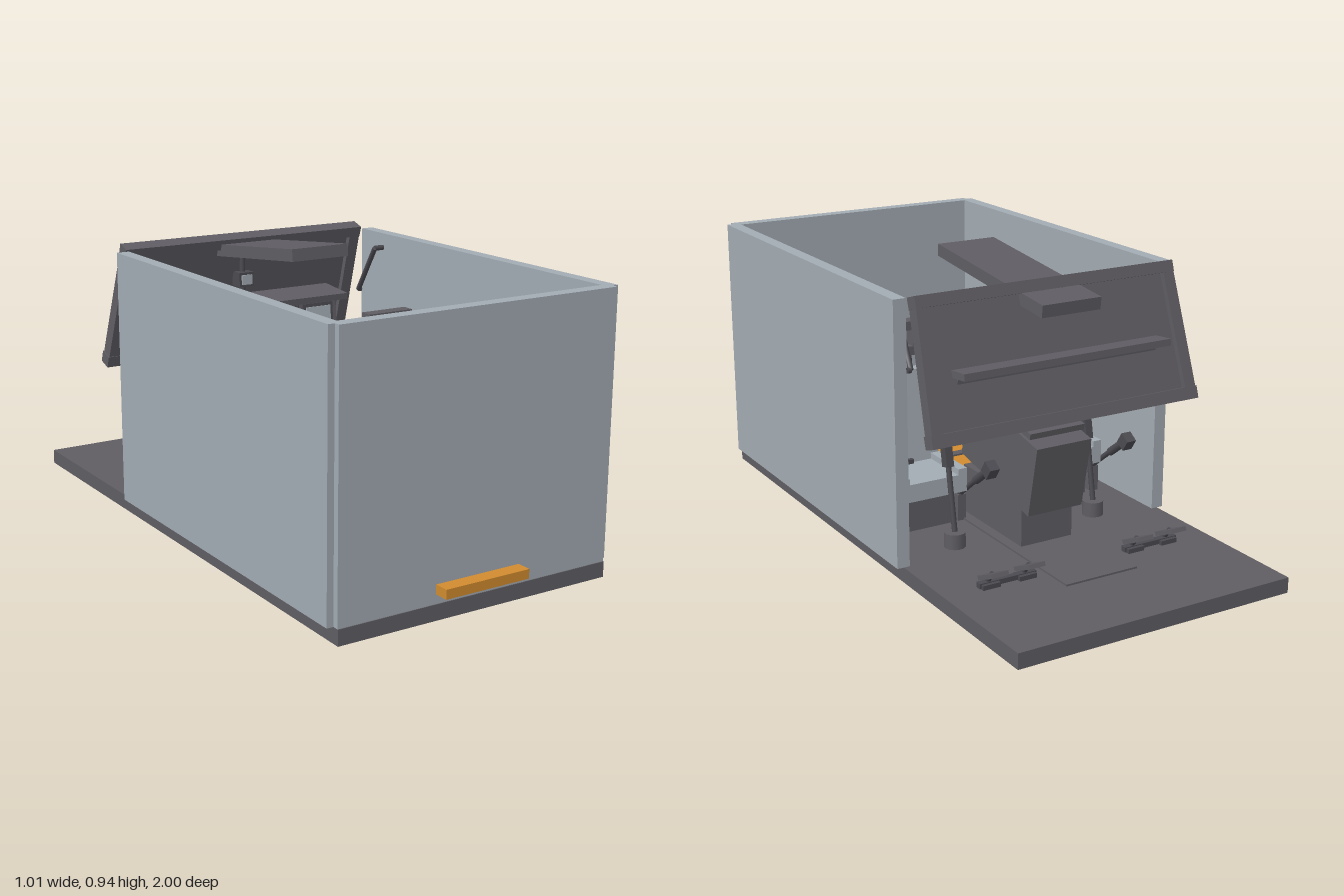
import * as THREE from 'three';

const mat = (name, color) => {
  const m = new THREE.MeshStandardMaterial({ color });
  m.name = name;
  return m;
};

export function createModel() {
  const wall = mat('pale blue grey', 0xa2abb3);
  const dark = mat('dark grey', 0x5f5d63);
  const trim = mat('charcoal trim', 0x4b4a50);
  const orange = mat('orange', 0xd08b2e);

  const root = new THREE.Group();
  root.name = 'cabin';
  const V = (x, y, z) => new THREE.Vector3(x, y, z);

  // Box given by its extents
  function box(name, m, [x0, x1], [y0, y1], [z0, z1], parent = root) {
    const b = new THREE.Mesh(new THREE.BoxGeometry(x1 - x0, y1 - y0, z1 - z0), m);
    b.position.set((x0 + x1) / 2, (y0 + y1) / 2, (z0 + z1) / 2);
    b.name = name;
    parent.add(b);
    return b;
  }
  // Box given by size and centre, tilted around x
  function tilted(name, m, size, pos, tilt, parent = root) {
    const b = new THREE.Mesh(new THREE.BoxGeometry(...size), m);
    b.position.set(...pos);
    b.rotation.x = tilt;
    b.name = name;
    parent.add(b);
    return b;
  }
  // Round rod between two points
  function rod(name, m, a, b, r, parent = root) {
    const d = b.clone().sub(a);
    const c = new THREE.Mesh(new THREE.CylinderGeometry(r, r, d.length(), 14), m);
    c.position.copy(a).add(b).multiplyScalar(0.5);
    c.quaternion.setFromUnitVectors(V(0, 1, 0), d.normalize());
    c.name = name;
    parent.add(c);
    return c;
  }
  function group(name, x = 0, y = 0, z = 0) {
    const g = new THREE.Group();
    g.name = name;
    g.position.set(x, y, z);
    root.add(g);
    return g;
  }

  // Floor and walls
  box('floor', dark, [-0.483, 0.483], [0, 0.05], [-1, 0.955]);
  box('floorPlate', dark, [-0.13, 0.13], [0.05, 0.056], [-0.71, 0.04]);
  box('endWall', wall, [-0.483, 0.483], [0.05, 0.9], [0.908, 0.952]);
  for (const s of [-1, 1]) {
    const x = s * 0.4835;
    box('sideWall', wall, [x - 0.0215, x + 0.0215], [0.05, 0.9], [-0.34, 0.932]);
    // Slanted grab handle near the doorway
    const top = V(s * 0.428, 0.85, -0.21), low = V(s * 0.452, 0.68, -0.345);
    rod('grabHandle', trim, top, low, 0.009);
    for (const p of [top, low]) rod('handleBracket', trim, p, V(s * 0.464, p.y, p.z), 0.009);
  }

  // Stretcher with pillow and straps
  box('stretcherFrame', dark, [-0.13, 0.13], [0.05, 0.08], [0.07, 0.9]);
  box('stretcherMattress', orange, [-0.15, 0.15], [0.08, 0.11], [0.05, 1]);
  box('stretcherPillow', orange, [-0.125, 0.125], [0.11, 0.135], [0.09, 0.237]);
  for (const z of [0.32, 0.55, 0.785])
    box('stretcherStrap', dark, [-0.158, 0.158], [0.078, 0.116], [z - 0.017, z + 0.017]);

  // Windscreen frame, leaning forward at the bottom
  const screen = group('windscreen', 0, 0.7, -0.443);
  screen.rotation.x = 0.315;
  box('frameTop', dark, [-0.465, 0.465], [0.185, 0.222], [-0.024, 0.024], screen);
  box('frameBottom', dark, [-0.483, 0.483], [-0.225, -0.185], [-0.024, 0.024], screen);
  box('windscreenPane', dark, [-0.45, 0.45], [-0.2, 0.2], [-0.004, 0.004], screen);
  for (const s of [-1, 1]) {
    const post = box('framePost', dark, [-0.02, 0.02], [-0.205, 0.205], [-0.022, 0.022], screen);
    post.position.x = s * 0.452;
    post.rotation.z = s * 0.04;
  }

  // Overhead panel
  tilted('overheadPanel', dark, [0.21, 0.04, 0.63], [0, 0.885, -0.208], -0.11);

  // Instrument panel, its hood and displays
  tilted('panelHood', dark, [0.745, 0.022, 0.225], [0, 0.68, -0.412], 0.09);
  const panel = group('instrumentPanel', 0, 0.575, -0.395);
  panel.rotation.x = -0.1;
  box('panelBody', dark, [-0.36, 0.36], [-0.1, 0.1], [-0.06, 0.045], panel);
  for (const x of [-0.28, -0.14, 0.14, 0.28]) {
    box('displayBezel', trim, [x - 0.062, x + 0.062], [-0.066, 0.066], [0.045, 0.051], panel);
    box('displayScreen', wall, [x - 0.05, x + 0.05], [-0.054, 0.054], [0.051, 0.056], panel);
  }
  tilted('panelShelf', dark, [0.2, 0.02, 0.13], [0, 0.452, -0.39], -0.2);

  // Compass under the overhead panel
  rod('compassStalk', trim, V(0, 0.69, -0.4), V(0, 0.86, -0.4), 0.01);
  box('compassBody', trim, [-0.028, 0.028], [0.73, 0.78], [-0.42, -0.37]);
  box('compassDial', wall, [-0.02, 0.02], [0.738, 0.772], [-0.37, -0.365]);

  // Centre console
  box('consoleBase', dark, [-0.095, 0.095], [0.05, 0.22], [-0.4, -0.04]);
  tilted('consoleBody', dark, [0.2, 0.24, 0.42], [0, 0.335, -0.265], -0.2);

  // Pilot stations, both facing the windscreen
  for (const sx of [-0.265, 0.265]) {
    const seat = group('pilotSeat', sx);
    box('seatBase', dark, [-0.09, 0.09], [0.05, 0.17], [-0.1, 0.07], seat);
    box('seatCushion', wall, [-0.09, 0.09], [0.17, 0.23], [-0.145, 0.06], seat);
    tilted('seatBack', wall, [0.19, 0.33, 0.05], [0, 0.375, 0.075], 0.08, seat);
    tilted('seatBackFrame', dark, [0.19, 0.32, 0.02], [0, 0.37, 0.112], 0.08, seat);
    for (const s of [-1, 1]) {
      box('seatBolster', wall, [s * 0.105 - 0.016, s * 0.105 + 0.016], [0.17, 0.25], [-0.145, 0.06], seat);
      box('backBolster', wall, [s * 0.105 - 0.014, s * 0.105 + 0.014], [0.22, 0.5], [0.04, 0.11], seat);
      rod('headrestPost', trim, V(s * 0.045, 0.52, 0.09), V(s * 0.045, 0.6, 0.1), 0.007, seat);
      box('headrestSide', dark, [s * 0.067 - 0.018, s * 0.067 + 0.018], [0.585, 0.7], [0.08, 0.125], seat);
    }
    for (const y of [0.6, 0.685])
      box('headrestRail', dark, [-0.085, 0.085], [y - 0.015, y + 0.015], [0.08, 0.125], seat);
    box('harnessBuckle', trim, [-0.018, 0.018], [0.23, 0.245], [0.025, 0.045], seat);
    box('armrest', dark, [0.122, 0.144], [0.29, 0.32], [-0.08, 0.085], seat);

    // Control stick with orange cap
    const stick = group('controlStick', sx);
    rod('stickBase', dark, V(0, 0.05, -0.275), V(0, 0.1, -0.275), 0.035, stick);
    rod('stickShaft', trim, V(0, 0.1, -0.275), V(0, 0.32, -0.235), 0.009, stick);
    tilted('stickGrip', trim, [0.026, 0.09, 0.032], [0, 0.35, -0.227], 0.2, stick);
    tilted('stickCap', orange, [0.022, 0.015, 0.045], [0, 0.4, -0.215], 0.2, stick);

    // Lift lever beside the seat
    const lever = group('liftLever', sx - 0.128);
    box('leverMount', dark, [-0.015, 0.015], [0.05, 0.14], [-0.1, -0.04], lever);
    rod('leverShaft', trim, V(0, 0.12, -0.06), V(0, 0.26, -0.24), 0.009, lever);
    rod('leverGrip', trim, V(0, 0.22, -0.19), V(0, 0.28, -0.27), 0.014, lever);
    tilted('leverHead', trim, [0.036, 0.045, 0.04], [0, 0.285, -0.28], -0.6, lever);

    // Foot pedals
    const pedals = group('footPedals', sx);
    box('pedalBar', trim, [-0.1, 0.1], [0.052, 0.068], [-0.598, -0.58], pedals);
    for (const s of [-1, 1]) {
      box('pedalMount', trim, [s * 0.064 - 0.03, s * 0.064 + 0.03], [0.05, 0.065], [-0.61, -0.57], pedals);
      rod('pedalArm', trim, V(s * 0.064, 0.055, -0.575), V(s * 0.064, 0.1, -0.61), 0.008, pedals);
      tilted('pedalPlate', dark, [0.058, 0.014, 0.09], [s * 0.064, 0.096, -0.615], 0.42, pedals);
    }
  }

  // Upright bottles against the side wall
  for (const [z, m] of [[0.345, dark], [0.48, wall]]) {
    const bottle = new THREE.Mesh(new THREE.LatheGeometry(
      [[0, 0], [0.05, 0], [0.05, 0.28], [0.042, 0.31], [0.014, 0.33], [0.014, 0.36], [0, 0.36]]
        .map(([r, y]) => new THREE.Vector2(r, y)), 20), m);
    bottle.position.set(0.41, 0.05, z);
    bottle.name = 'gasBottle';
    root.add(bottle);
  }
  return root;
}
